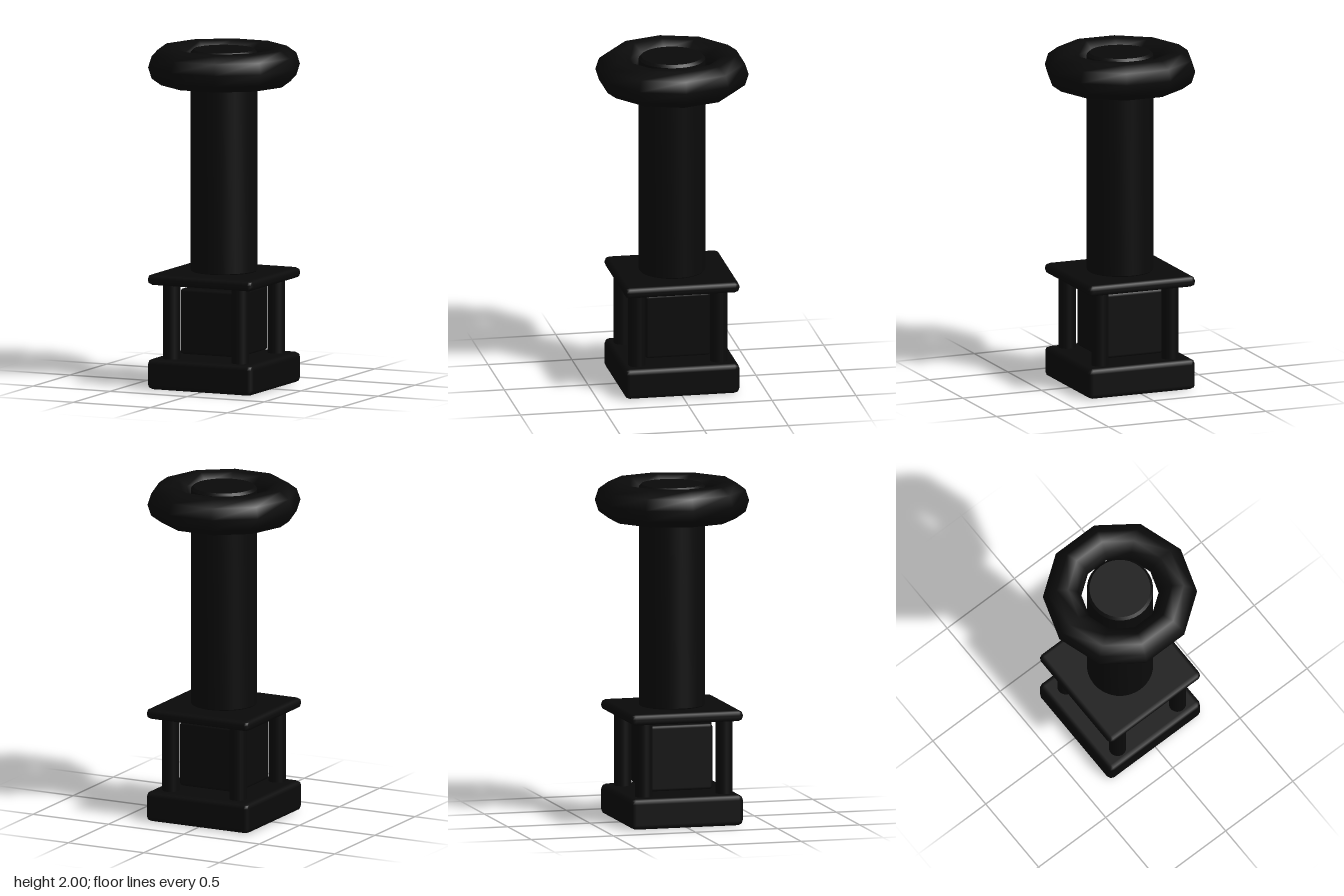
import * as THREE from 'three';
import { toCreasedNormals } from 'three/addons/utils/BufferGeometryUtils.js';
import { RoundedBoxGeometry } from 'three/addons/geometries/RoundedBoxGeometry.js';

const black = new THREE.MeshStandardMaterial({ color: 0x0a0a0a });

function add(group, name, geometry, x, y, z) {
  const mesh = new THREE.Mesh(geometry, black);
  mesh.name = name;
  mesh.position.set(x, y, z);
  group.add(mesh);
  return mesh;
}

// Box with a one-step chamfer on every edge, placed by its bottom and top
function chamferedBox(group, name, width, bottom, top, bevel) {
  const geometry = new RoundedBoxGeometry(width, top - bottom, width, 1, bevel);
  add(group, name, geometry, 0, (bottom + top) / 2, 0);
}

// Upright cylinder with bevelled rims, standing on y = 0
function bevelledCylinder(radius, height, bevel, sides) {
  const profile = [
    [0, 0], [radius - bevel, 0], [radius, bevel],
    [radius, height - bevel], [radius - bevel, height], [0, height],
  ].map(([x, y]) => new THREE.Vector2(x, y));
  return toCreasedNormals(new THREE.LatheGeometry(profile, sides), Math.PI / 6);
}

export function createModel() {
  const model = new THREE.Group();
  model.name = 'pedestalColumn';

  // Square base, floating core block and upper plate
  chamferedBox(model, 'base', 0.684, 0, 0.18, 0.03);
  chamferedBox(model, 'coreBlock', 0.39, 0.2, 0.588, 0.018);
  chamferedBox(model, 'upperPlate', 0.684, 0.617, 0.68, 0.028);

  // Four round posts between base and plate
  for (const x of [-0.218, 0.228]) {
    for (const z of [-0.234, 0.254]) {
      add(model, 'post', new THREE.CylinderGeometry(0.051, 0.051, 0.46, 24), x, 0.4, z);
    }
  }

  // Tall round shaft
  add(model, 'shaft', bevelledCylinder(0.195, 1.32, 0.016, 32), 0, 0.67, 0);

  // Ten-sided ring around the top of the shaft
  const ring = new THREE.TorusGeometry(0.339, 0.113, 10, 10).rotateX(Math.PI / 2);
  add(model, 'topRing', ring, 0, 1.893, 0);

  return model;
}
